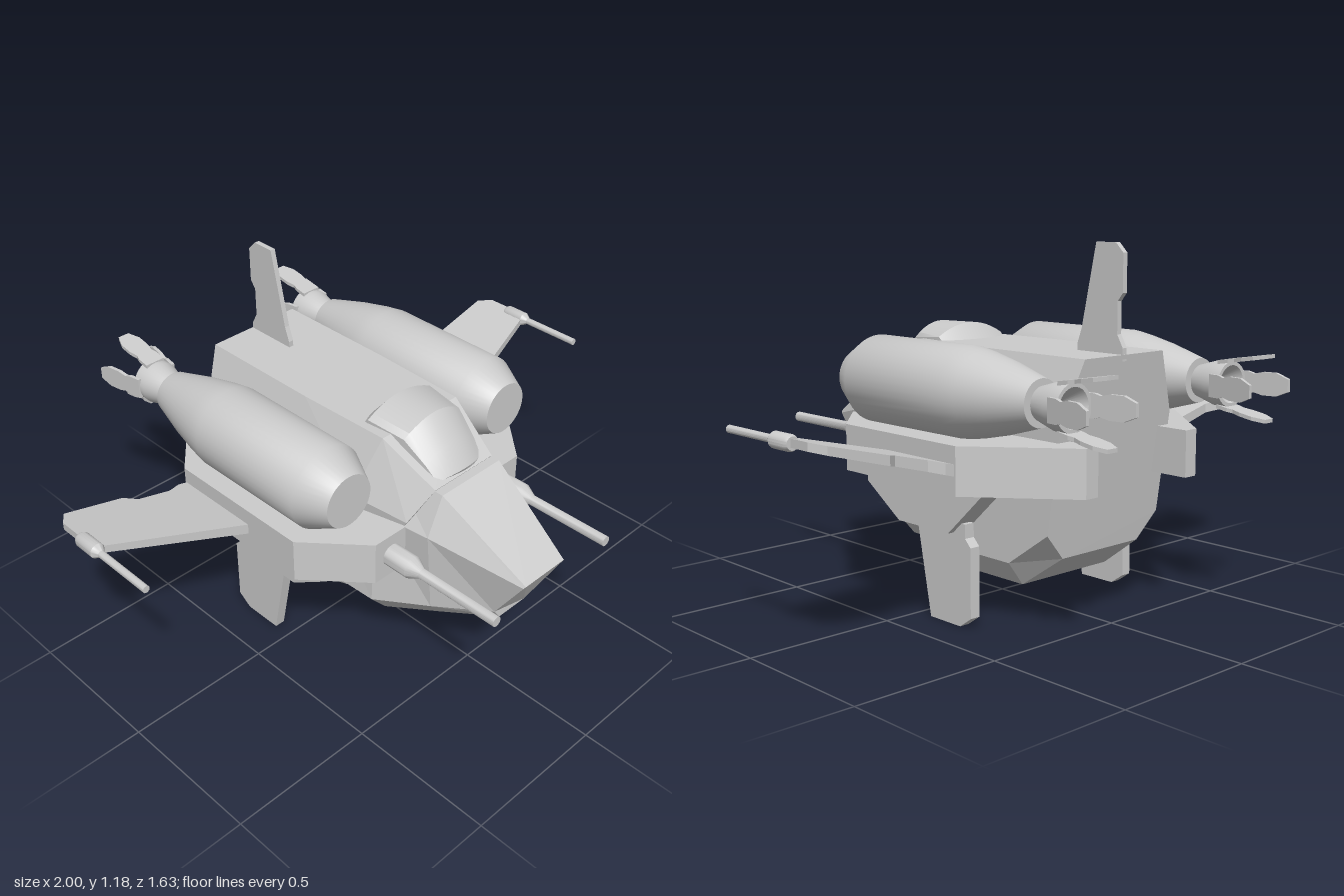
import * as THREE from 'three';
import { toCreasedNormals } from 'three/addons/utils/BufferGeometryUtils.js';

const material = new THREE.MeshStandardMaterial({ color: 0xcccccc });
const flat = new THREE.MeshStandardMaterial({ color: 0xcccccc, flatShading: true });

function add(parent, name, geometry, mat = flat) {
  const mesh = new THREE.Mesh(geometry, mat);
  mesh.name = name;
  parent.add(mesh);
  return mesh;
}

// Closed loft through rings of [x, y, z], ordered from back to front
function loft(rings) {
  const n = rings[0].length, index = [];
  for (let i = 0; i < rings.length - 1; i++) {
    for (let j = 0; j < n; j++) {
      const k = (j + 1) % n, a = i * n, b = a + n;
      index.push(a + j, a + k, b + k, a + j, b + k, b + j);
    }
  }
  const last = (rings.length - 1) * n;
  for (let j = 1; j < n - 1; j++) index.push(0, j + 1, j, last, last + j, last + j + 1);
  const geo = new THREE.BufferGeometry();
  geo.setAttribute('position', new THREE.Float32BufferAttribute(rings.flat(2), 3));
  geo.setIndex(index);
  geo.computeVertexNormals();
  return geo;
}

// Completes a right half section (bottom to top) with its mirror image
const mirrored = (half) => [...half, ...half.map(([x, y, z]) => [-x, y, z]).reverse()];

function extrude(points, depth) {
  const shape = new THREE.Shape(points.map(([x, y]) => new THREE.Vector2(x, y)));
  return new THREE.ExtrudeGeometry(shape, { depth, bevelEnabled: false });
}

// Side profile [z, y] with thickness across x
const sidePlate = (points, x, width) =>
  extrude(points.map(([z, y]) => [-z, y]), width).rotateY(Math.PI / 2).translate(x - width / 2, 0, 0);

// Plan outline [x, z] with thickness up y
const planPlate = (points, y, height, side) =>
  extrude(points.map(([x, z]) => [side * x, -z]), height).rotateX(-Math.PI / 2).translate(0, y, 0);

// Turned part along z from [radius, z] points, back to front
const turned = (points, sides = 32) => toCreasedNormals(
  new THREE.LatheGeometry(points.map(([r, z]) => new THREE.Vector2(r, z)), sides).rotateX(Math.PI / 2), 0.55);

function hull(root) {
  add(root, 'noseHull', loft([
    [[0.18, 0.178, 0], [0.24, 0.25, 0], [0.22, 0.6, 0], [0.135, 0.735, 0]],
    [[0.165, 0.178, 0.27], [0.23, 0.25, 0.27], [0.215, 0.6, 0.27], [0.135, 0.735, 0.27]],
    [[0.115, 0.253, 0.47], [0.165, 0.308, 0.47], [0.19, 0.6, 0.47], [0.13, 0.732, 0.47]],
    [[0.06, 0.326, 0.667], [0.085, 0.36, 0.665], [0.095, 0.53, 0.775], [0.09, 0.537, 0.78]],
  ].map(mirrored)));
  add(root, 'mainHull', loft([
    [[0.17, 0.23, -0.45], [0.25, 0.317, -0.463], [0.25, 0.65, -0.511], [0.175, 0.85, -0.54]],
    [[0.19, 0.12, -0.295], [0.25, 0.2, -0.295], [0.25, 0.65, -0.295], [0.175, 0.85, -0.295]],
    [[0.19, 0.12, -0.09], [0.25, 0.2, -0.09], [0.25, 0.65, -0.09], [0.175, 0.85, -0.09]],
    [[0.18, 0.178, 0.1], [0.25, 0.255, 0.1], [0.25, 0.65, 0.2], [0.165, 0.85, 0.25]],
    [[0.14, 0.22, 0.15], [0.2, 0.35, 0.22], [0.2, 0.62, 0.39], [0.13, 0.735, 0.44]],
  ].map(mirrored)));

  // Canopy: arched sections [z, half width, edge height, crown height, forward bulge]
  const arch = ([z, w, edge, crown, bulge]) => {
    const ring = [[w, 0.7, z]];
    for (let i = 0; i <= 12; i++) {
      const t = 1 - i / 6, rise = 1 - t * t;
      ring.push([w * t, edge + (crown - edge) * rise, z + bulge * rise]);
    }
    ring.push([-w, 0.7, z]);
    return ring;
  };
  const canopy = loft([
    [0.135, 0.138, 0.84, 0.85, -0.02],
    [0.16, 0.14, 0.862, 0.903, 0],
    [0.3, 0.125, 0.85, 0.9, 0.01],
    [0.38, 0.11, 0.785, 0.825, 0.01],
    [0.42, 0.1, 0.74, 0.75, 0.02],
  ].map(arch));
  add(root, 'canopy', toCreasedNormals(canopy, 0.55), material);

  add(root, 'tailFin', sidePlate([[-0.35, 0.83], [-0.35, 0.87], [-0.368, 0.92], [-0.425, 1.185],
    [-0.505, 1.185], [-0.535, 1.155], [-0.535, 1.035], [-0.515, 1.01], [-0.515, 0.91],
    [-0.538, 0.87], [-0.538, 0.83]], 0, 0.018));
}

function engine(root, side) {
  const group = new THREE.Group();
  group.name = 'engine';
  group.position.set(side * 0.357, 0.74, 0);
  root.add(group);
  add(group, 'enginePod', turned([[0, -0.545], [0.072, -0.545], [0.11, -0.41], [0.132, -0.31],
    [0.142, -0.25], [0.142, 0.2], [0.09, 0.3], [0, 0.3]], 40), material);
  add(group, 'nozzle', turned([[0, -0.59], [0.06, -0.67], [0.072, -0.67], [0.072, -0.62],
    [0.052, -0.55], [0, -0.54]]), material);
  // Four flared exhaust petals
  for (let i = 0; i < 4; i++) {
    const petal = extrude([[0.036, -0.64], [0.036, -0.68], [0.03, -0.7], [0.037, -0.73],
      [0.037, -0.775], [0.02, -0.815], [-0.02, -0.815], [-0.037, -0.775], [-0.037, -0.73],
      [-0.03, -0.7], [-0.036, -0.68], [-0.036, -0.64]], 0.012).rotateX(Math.PI / 2);
    const p = petal.attributes.position;
    for (let v = 0; v < p.count; v++) p.setY(v, p.getY(v) + 0.076 + (-0.64 - p.getZ(v)) * 0.17);
    petal.rotateZ(i * Math.PI / 2).computeVertexNormals();
    add(group, 'exhaustPetal', petal);
  }
}

function sideParts(root, side) {
  engine(root, side);

  // Side sponson carrying the guns, wing and lower fin
  add(root, 'sponson', planPlate([[0.2, 0.387], [0.33, 0.387], [0.497, 0.2], [0.497, -0.33],
    [0.25, -0.62], [0.2, -0.62]], 0.455, 0.15, side));
  add(root, 'finBracket', sidePlate([[0.23, 0.47], [0.23, 0.4], [0.07, 0.295], [-0.17, 0.295],
    [-0.345, 0.455], [-0.345, 0.47]], side * 0.35, 0.08));
  add(root, 'lowerFin', sidePlate([[0, 0.33], [0, 0.295], [-0.06, 0], [-0.2, 0], [-0.25, 0.035],
    [-0.25, 0.26], [-0.225, 0.285], [-0.225, 0.33]], side * 0.35, 0.036));

  // Wing plate, sheared upward and thinned towards the tip
  const wing = planPlate([[0.44, 0], [0.5, -0.015], [0.96, -0.125], [0.982, -0.15], [0.982, -0.29],
    [0.95, -0.335], [0.74, -0.335], [0.7, -0.305], [0.58, -0.305], [0.53, -0.325],
    [0.44, -0.325]], -0.018, 0.036, side);
  const p = wing.attributes.position;
  for (let v = 0; v < p.count; v++) {
    const out = Math.abs(p.getX(v)) - 0.5;
    p.setY(v, p.getY(v) * (1 - 0.6 * out) + 0.533 + 0.262 * out);
  }
  wing.computeVertexNormals();
  add(root, 'wing', wing);

  add(root, 'wingGun', turned([[0, -0.21], [0.02, -0.21], [0.025, -0.2], [0.025, -0.125],
    [0.012, -0.105], [0.012, 0.113], [0, 0.113]], 20), material).position.set(side * 0.975, 0.657, 0);
  add(root, 'mainGun', turned([[0, 0.36], [0.037, 0.36], [0.037, 0.475], [0.017, 0.515],
    [0.017, 0.812], [0, 0.812]], 24), material).position.set(side * 0.26, 0.53, 0);
}

export function createModel() {
  const root = new THREE.Group();
  root.name = 'gunship';
  hull(root);
  for (const side of [1, -1]) sideParts(root, side);
  return root;
}
